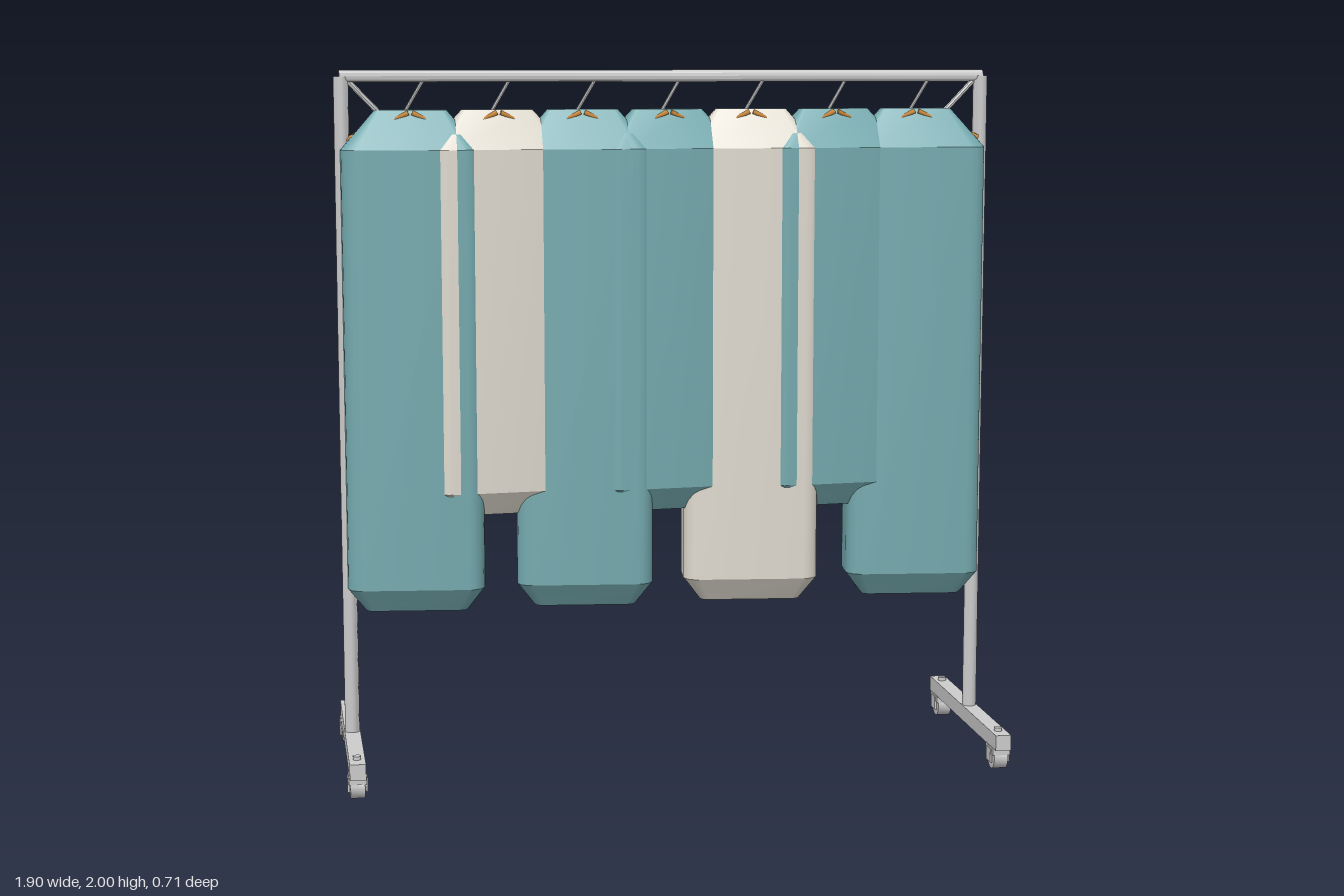
import * as THREE from 'three';
import { toCreasedNormals } from 'three/addons/utils/BufferGeometryUtils.js';

const metal = new THREE.MeshStandardMaterial({ color: 0xcccccc });
const teal = new THREE.MeshStandardMaterial({ color: 0x74a9ae });
const cream = new THREE.MeshStandardMaterial({ color: 0xded9ce });
const wood = new THREE.MeshStandardMaterial({ color: 0xc8873a });

function add(parent, name, geometry, material, x = 0, y = 0, z = 0) {
  const mesh = new THREE.Mesh(geometry, material);
  mesh.name = name;
  mesh.position.set(x, y, z);
  parent.add(mesh);
  return mesh;
}

// Straight round rod between two points
function rod(parent, name, from, to, radius, sides, material) {
  const a = new THREE.Vector3(...from), b = new THREE.Vector3(...to);
  const dir = b.clone().sub(a);
  const geo = toCreasedNormals(new THREE.CylinderGeometry(radius, radius, dir.length(), sides), 0.9);
  const mesh = add(parent, name, geo, material);
  mesh.position.copy(a).add(b).multiplyScalar(0.5);
  mesh.quaternion.setFromUnitVectors(new THREE.Vector3(0, 1, 0), dir.normalize());
  return mesh;
}

// Rounded rectangle in the xz plane at a given height
function ring(y, halfW, halfD) {
  const r = Math.min(0.045, halfD * 0.5), steps = 4, points = [];
  const corners = [[1, 1], [-1, 1], [-1, -1], [1, -1]];
  corners.forEach(([sx, sz], c) => {
    for (let i = 0; i <= steps; i++) {
      const a = (c + i / steps) * Math.PI / 2;
      points.push([sx * (halfW - r) + r * Math.cos(a), y, sz * (halfD - r) + r * Math.sin(a)]);
    }
  });
  return points;
}

// Garment bag lofted through rings, narrowing at the hem and the shoulders
function bagGeometry(bottom) {
  const rings = [
    ring(bottom, 0.145, 0.045),
    ring(bottom + 0.068, 0.195, 0.088),
    ring(1.78, 0.195, 0.088),
    ring(1.89, 0.1, 0.018),
  ];
  const n = rings[0].length, index = [];
  const vertices = [...rings.flat(), [0, bottom, 0], [0, 1.89, 0]];
  const low = rings.length * n, high = low + 1, last = (rings.length - 1) * n;
  for (let i = 0; i < n; i++) {
    const j = (i + 1) % n;
    for (let k = 0; k < rings.length - 1; k++) {
      const a = k * n + i, b = k * n + j;
      index.push(a, a + n, b, b, a + n, b + n);
    }
    index.push(low, i, j, high, last + j, last + i);
  }
  const geo = new THREE.BufferGeometry();
  geo.setAttribute('position', new THREE.Float32BufferAttribute(vertices.flat(), 3));
  geo.setIndex(index);
  return toCreasedNormals(geo, 0.48);
}

// Bag with its hanger
function garment(x, bottom, material, turn) {
  const g = new THREE.Group();
  g.name = 'garment';
  g.position.x = x;
  add(g, 'garmentBag', bagGeometry(bottom), material);
  for (const s of [-1, 1]) {
    const arm = add(g, 'hangerArm', new THREE.CylinderGeometry(0.01, 0.01, 0.19, 12), wood, s * 0.092, 1.843, 0);
    arm.rotation.z = s * (Math.PI / 2 - 0.41);
    arm.scale.z = 3.5;
  }
  rod(g, 'hangerHook', [-0.03, 1.86, 0], [0.035, 1.97, 0], 0.005, 8, metal);
  g.rotation.y = turn;
  return g;
}

// Post, foot beam and casters for one end
function endFrame(x) {
  const g = new THREE.Group();
  g.name = 'endFrame';
  g.position.x = x;
  rod(g, 'post', [0, 0.1, 0], [0, 1.983, 0], 0.021, 12, metal);
  add(g, 'footBeam', new THREE.BoxGeometry(0.045, 0.045, 0.71), metal, 0, 0.0875, 0);
  for (const z of [-0.3, 0.3]) {
    rod(g, 'casterBolt', [0, 0.1, z], [0, 0.12, z], 0.012, 10, metal);
    add(g, 'casterMount', new THREE.BoxGeometry(0.05, 0.02, 0.076), metal, 0, 0.057, z);
    rod(g, 'casterWheel', [-0.02, 0.036, z], [0.02, 0.036, z], 0.036, 16, metal);
    rod(g, 'casterAxle', [-0.028, 0.036, z], [0.028, 0.036, z], 0.012, 10, metal);
    for (const s of [-1, 1])
      add(g, 'casterFork', new THREE.BoxGeometry(0.006, 0.04, 0.04), metal, s * 0.025, 0.042, z);
  }
  return g;
}

export function createModel() {
  const model = new THREE.Group();
  model.name = 'garmentRack';

  // Frame
  for (const s of [-1, 1]) {
    model.add(endFrame(s * 0.92));
    rod(model, 'cornerBrace', [s * 0.905, 1.975, 0], [s * 0.8, 1.865, 0], 0.008, 8, metal);
  }
  rod(model, 'topRail', [-0.925, 1.983, 0], [0.925, 1.983, 0], 0.017, 12, metal);

  // Alternating long and short garments, each turned a little
  for (let i = 0; i < 7; i++) {
    const long = i % 2 === 0;
    const material = i === 1 || i === 4 ? cream : teal;
    model.add(garment((i - 3) * 0.2425, long ? 0.467 : 0.742, material, long ? -0.1 : 0.1));
  }
  return model;
}
